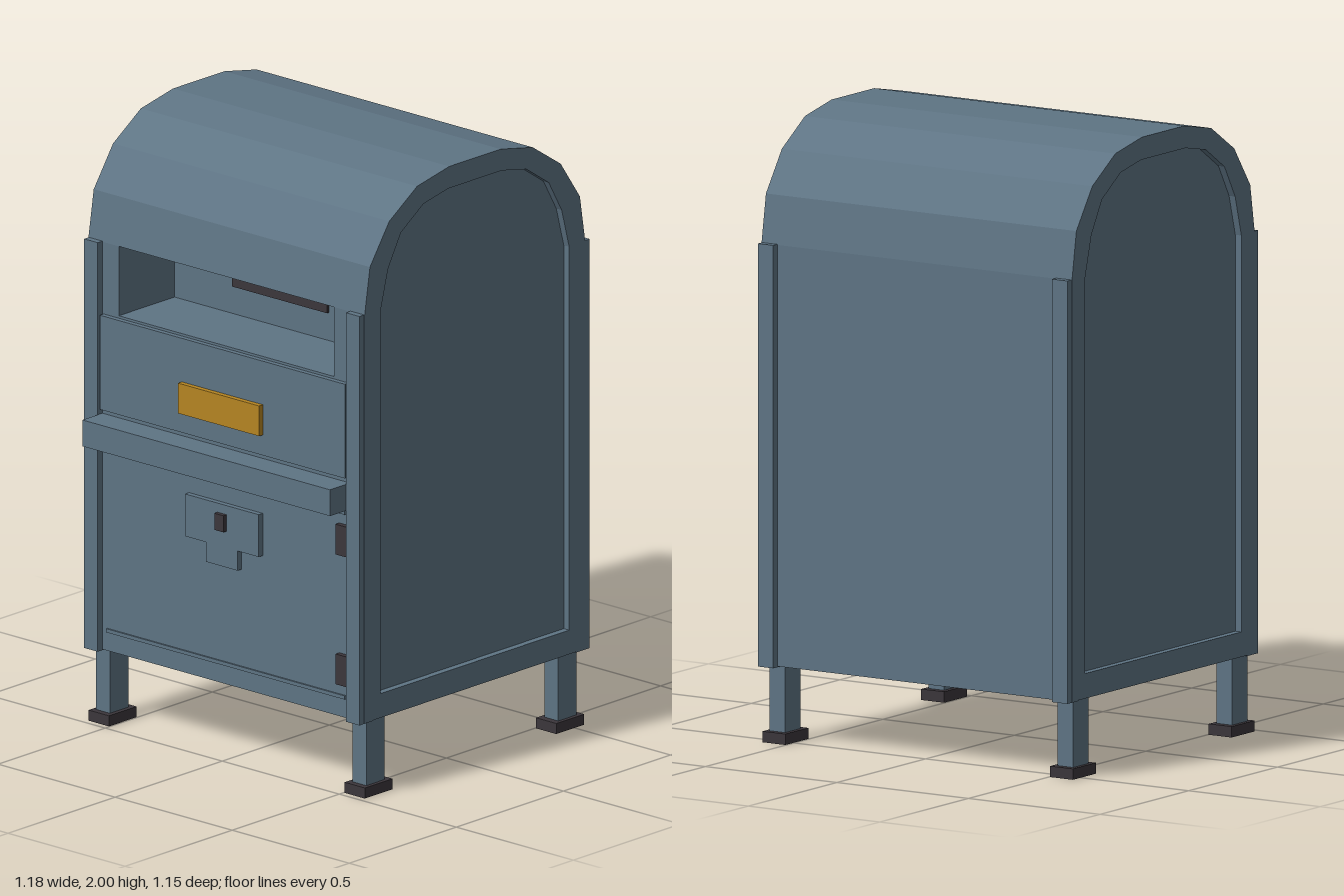
import * as THREE from 'three';

const mat = (name, color) => {
  const m = new THREE.MeshStandardMaterial({ color });
  m.name = name;
  return m;
};

export function createModel() {
  const steel = mat('blueSteel', 0x5e7484);
  const dark = mat('darkIron', 0x3b363b);
  const brass = mat('brass', 0xb58522);
  const model = new THREE.Group();

  const add = (name, geometry, material) => {
    const mesh = new THREE.Mesh(geometry, material);
    mesh.name = name;
    model.add(mesh);
    return mesh;
  };
  // Box given by its limits on each axis
  const box = (name, material, x0, x1, y0, y1, z0, z1) => {
    const g = new THREE.BoxGeometry(x1 - x0, y1 - y0, z1 - z0);
    g.translate((x0 + x1) / 2, (y0 + y1) / 2, (z0 + z1) / 2);
    return add(name, g, material);
  };
  // Side profile (z, y) swept across x
  const sweep = (name, shape, x0, x1) => {
    const g = new THREE.ExtrudeGeometry(shape, { depth: x1 - x0, bevelEnabled: false });
    g.rotateY(-Math.PI / 2);
    g.translate(x1, 0, 0);
    return add(name, g, steel);
  };

  // Arched side outline, mirrored about the middle of the cabinet
  const midZ = -0.035;
  const arch = (bottom, half) => {
    const pts = [[half[0][0], bottom], ...half];
    return [
      ...pts.map(([d, y]) => new THREE.Vector2(midZ + d, y)),
      ...pts.slice().reverse().map(([d, y]) => new THREE.Vector2(midZ - d, y)),
    ];
  };
  const outer = arch(0.25, [[0.515, 1.6], [0.49, 1.755], [0.4, 1.885], [0.27, 1.97], [0.12, 2]]);
  const inner = arch(0.33, [[0.44, 1.6], [0.405, 1.73], [0.345, 1.835], [0.24, 1.905], [0.125, 1.928]]);

  // Middle of the cabinet, notched for the mail opening
  const notched = outer.slice();
  notched.splice(1, 0,
    new THREE.Vector2(0.48, 1.37), new THREE.Vector2(0.22, 1.37), new THREE.Vector2(0.22, 1.6));
  sweep('cabinetMiddle', new THREE.Shape(notched), -0.46, 0.46);

  // Cabinet ends with a raised rim around the sunken side panels
  const rim = new THREE.Shape(outer);
  rim.holes.push(new THREE.Path(inner));
  for (const [x0, x1, r0, r1] of [[0.46, 0.567, 0.567, 0.59], [-0.567, -0.46, -0.59, -0.567]]) {
    sweep('sidePanel', new THREE.Shape(outer), x0, x1);
    sweep('sideRim', rim, r0, r1);
  }

  // Corner posts, legs and feet
  for (const s of [-1, 1]) {
    const mirrored = (name, material, a, b, ...rest) =>
      box(name, material, Math.min(s * a, s * b), Math.max(s * a, s * b), ...rest);
    mirrored('frontPost', steel, 0.53, 0.588, 0.247, 1.602, 0.44, 0.502);
    mirrored('backPost', steel, 0.53, 0.588, 0.247, 1.602, -0.573, -0.51);
    mirrored('frontLeg', steel, 0.518, 0.577, 0.03, 0.26, 0.372, 0.458);
    mirrored('backLeg', steel, 0.518, 0.577, 0.03, 0.26, -0.524, -0.438);
    mirrored('frontFoot', dark, 0.503, 0.59, 0, 0.035, 0.35, 0.479);
    mirrored('backFoot', dark, 0.503, 0.59, 0, 0.035, -0.545, -0.415);
  }

  // Mail slot and its hood on the back wall of the opening
  box('mailSlot', dark, -0.205, 0.2, 1.463, 1.525, 0.21, 0.23);
  box('slotHood', steel, -0.235, 0.23, 1.53, 1.563, 0.21, 0.25);

  // Upper front panel with name plate
  box('upperPanel', steel, -0.525, 0.522, 1.05, 1.362, 0.47, 0.498);
  box('namePlate', brass, -0.175, 0.172, 1.118, 1.218, 0.49, 0.516);

  // Ledge
  box('ledge', steel, -0.53, 0.528, 0.945, 1.032, 0.47, 0.574);

  // Lower door trim, lock and hinges
  for (const y of [0.318, 0.93]) box('doorSeam', steel, -0.51, 0.51, y - 0.006, y + 0.006, 0.475, 0.486);
  const lockPlate = new THREE.Shape([
    [-0.16, 0.85], [-0.16, 0.71], [-0.07, 0.71], [-0.07, 0.645],
    [0.065, 0.645], [0.065, 0.71], [0.155, 0.71], [0.155, 0.85],
  ].map(([x, y]) => new THREE.Vector2(x, y)));
  const plate = new THREE.ExtrudeGeometry(lockPlate, { depth: 0.025, bevelEnabled: false });
  plate.translate(0, 0, 0.474);
  add('lockPlate', plate, steel);
  box('lock', dark, -0.021, 0.018, 0.765, 0.82, 0.49, 0.514);
  for (const y of [0.36, 0.79]) box('hinge', dark, 0.482, 0.53, y, y + 0.1, 0.47, 0.498);

  return model;
}
